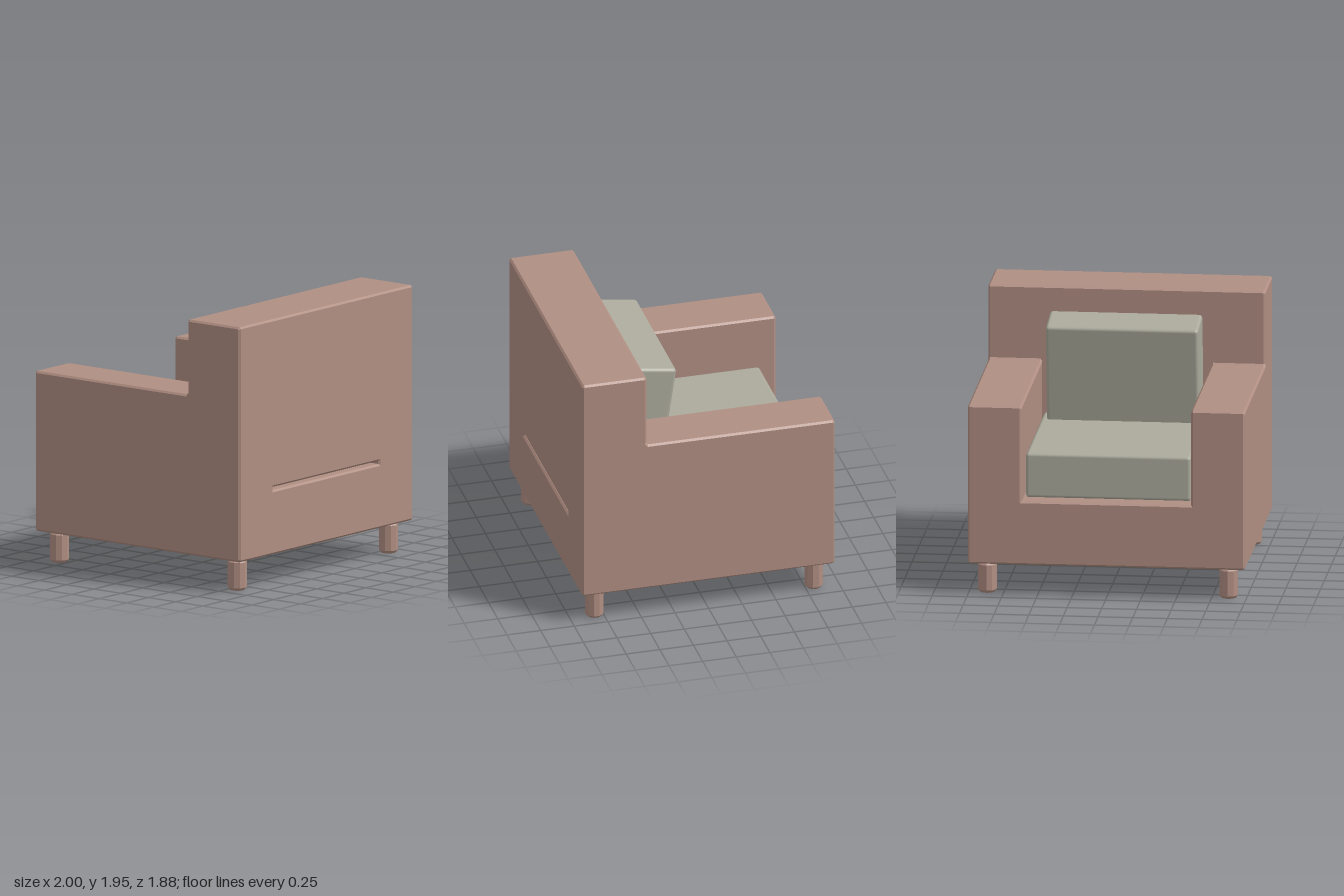
import * as THREE from 'three';
import { RoundedBoxGeometry } from 'three/addons/geometries/RoundedBoxGeometry.js';

const BEVEL = 0.014;

// Side profile given as [z, y] corners, with each corner chamfered
function chamferedShape(corners) {
  const pts = [];
  corners.forEach((c, i) => {
    const p = new THREE.Vector2(-c[0], c[1]);
    for (const j of [i + corners.length - 1, i + 1]) {
      const n = corners[j % corners.length];
      const dir = new THREE.Vector2(-n[0], n[1]).sub(p).normalize();
      pts.push(p.clone().addScaledVector(dir, BEVEL));
    }
  });
  return new THREE.Shape(pts);
}

// Profile extruded across the chair from x0 to x1
function slab(name, corners, x0, x1, material) {
  const geo = new THREE.ExtrudeGeometry(chamferedShape(corners), {
    depth: x1 - x0 - 2 * BEVEL, bevelEnabled: true, bevelSegments: 1,
    bevelSize: BEVEL, bevelThickness: BEVEL, bevelOffset: -BEVEL,
  });
  geo.rotateY(Math.PI / 2);
  geo.translate(x0 + BEVEL, 0, 0);
  const mesh = new THREE.Mesh(geo, material);
  mesh.name = name;
  return mesh;
}

function cushion(name, w, h, d, y, z, material) {
  const mesh = new THREE.Mesh(new RoundedBoxGeometry(w, h, d, 2, 0.025), material);
  mesh.name = name;
  mesh.position.set(0, y, z);
  return mesh;
}

export function createModel() {
  const group = new THREE.Group();
  group.name = 'armchair';

  const upholstery = new THREE.MeshStandardMaterial({ color: 0xb08e82 });
  upholstery.name = 'dusty pink upholstery';
  const fabric = new THREE.MeshStandardMaterial({ color: 0xabaa9c });
  fabric.name = 'grey cushion fabric';

  const near = 0.94, far = -0.94, backFace = 0.46;
  const bottom = 0.23, armTop = 1.4, top = 1.95;

  // Side panels: armrest and backrest end in one stepped profile
  const side = [[near, bottom], [far, bottom], [far, armTop], [backFace, armTop], [backFace, top], [near, top]];
  group.add(slab('leftArm', side, 0.61, 1, upholstery));
  group.add(slab('rightArm', side, -1, -0.61, upholstery));

  // Base and backrest between the arms, with a thin slot between them
  const seatBase = [[near, bottom], [far, bottom], [far, 0.7], [near, 0.7]];
  const backrest = [[near, 0.722], [backFace, 0.722], [backFace, top], [near, top]];
  group.add(slab('seatBase', seatBase, -0.64, 0.64, upholstery));
  group.add(slab('backrest', backrest, -0.64, 0.64, upholstery));

  // Cushions
  group.add(cushion('seatCushion', 1.19, 0.33, 1.26, 0.86, -0.18, fabric));
  const backCushion = cushion('backCushion', 1.1, 0.74, 0.325, 1.39, 0.326, fabric);
  backCushion.rotation.x = -0.145;
  group.add(backCushion);

  // Feet with chamfered lower rims
  const profile = [[0, 0], [0.052, 0], [0.069, 0.02], [0.069, 0.205], [0.055, 0.22], [0.055, 0.24]]
    .map(([r, y]) => new THREE.Vector2(r, y));
  const footGeo = new THREE.LatheGeometry(profile, 10).toNonIndexed();
  footGeo.computeVertexNormals();
  for (const x of [-0.87, 0.87]) {
    for (const z of [-0.815, 0.815]) {
      const foot = new THREE.Mesh(footGeo, upholstery);
      foot.name = (z > 0 ? 'front' : 'back') + (x > 0 ? 'Left' : 'Right') + 'Foot';
      foot.position.set(x, 0, z);
      group.add(foot);
    }
  }
  return group;
}
